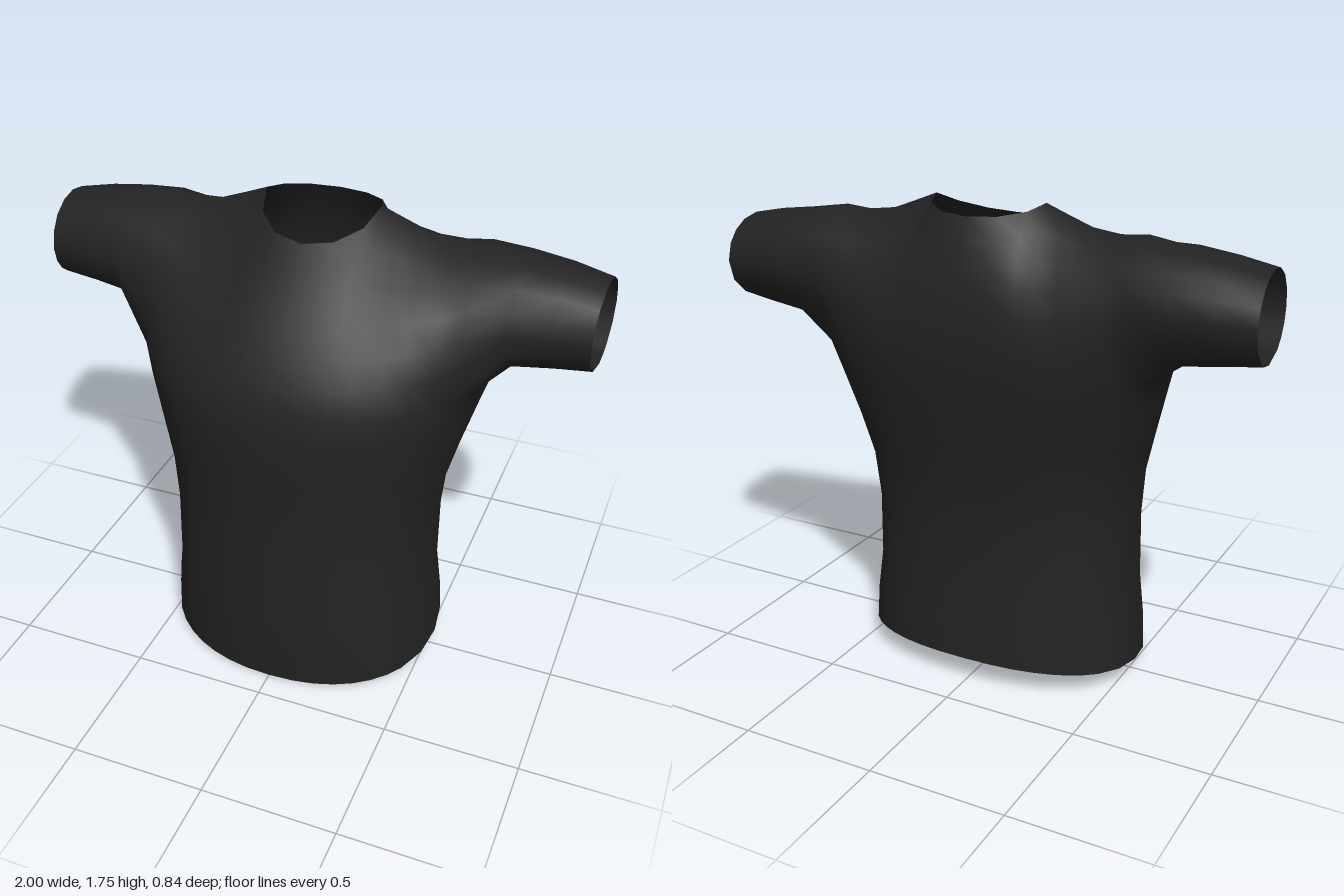
import * as THREE from 'three';
import { mergeVertices } from 'three/addons/utils/BufferGeometryUtils.js';

const rad = THREE.MathUtils.degToRad;
const lerp = THREE.MathUtils.lerp;
const V = (x, y, z) => new THREE.Vector3(x, y, z);

// Skin a grid of points (rows of equal length) into triangles
function skin(out, rows, flip = false) {
  for (let i = 0; i < rows.length - 1; i++) {
    for (let j = 0; j < rows[i].length - 1; j++) {
      const a = rows[i][j], b = rows[i + 1][j], c = rows[i + 1][j + 1], d = rows[i][j + 1];
      const tris = flip ? [a, c, b, a, d, c] : [a, b, c, a, c, d];
      tris.forEach((p) => out.push(p.x, p.y, p.z));
    }
  }
}

// Angles round the torso: front, one side, back, other side
const COLS = 14, SIDE = 4;
const angles = [30];
for (const [sweep, n] of [[120, COLS], [60, SIDE], [120, COLS], [60, SIDE]]) {
  const start = angles[angles.length - 1];
  for (let k = 1; k <= n; k++) angles.push(start + (sweep * k) / n);
}
const BACK = COLS + SIDE, RIGHT = BACK + COLS;

// Torso sections: height, half width, front z, back z, z of the widest point
const sections = [
  [0.00, 0.53, 0.40, -0.38, -0.02],
  [0.16, 0.522, 0.408, -0.37, -0.02],
  [0.33, 0.503, 0.41, -0.355, -0.02],
  [0.60, 0.503, 0.40, -0.34, -0.03],
  [0.77, 0.518, 0.403, -0.355, -0.04],
  [0.93, 0.56, 0.41, -0.38, -0.07],
  [1.10, 0.61, 0.42, -0.405, -0.12],
  [1.21, 0.645, 0.40, -0.42, -0.15],
];

function torsoRing([y, w, front, back, mid]) {
  return angles.map((deg) => {
    const c = Math.cos(rad(deg)), s = Math.sin(rad(deg));
    const e = 2 / (s > 0 ? 2.2 : 2.4);
    const x = w * Math.sign(c) * Math.abs(c) ** e;
    const z = mid + (s > 0 ? front - mid : mid - back) * Math.sign(s) * Math.abs(s) ** e;
    // the hem rises towards the back
    return V(x, y + (0.4 - z) * 0.128 * Math.max(0, 1 - y / 0.6), z);
  });
}

// Upper edge of a chest or back panel: shoulder, neckline, shoulder
const shoulder = [[0.58, 1.675], [0.48, 1.667], [0.38, 1.68], [0.3, 1.71]];
function topEdge(isFront) {
  const half = shoulder.map(([x, y]) => V(x, y, -0.15));
  const neck = [];
  for (let k = 0; k <= 6; k++) {
    const a = (Math.PI * k) / 6, s = Math.sin(a);
    neck.push(V(0.21 * Math.cos(a), 1.745 - (isFront ? 0.085 : 0.035) * s,
      -0.15 + (isFront ? 0.21 : -0.17) * s));
  }
  const mirrored = half.map((p) => V(-p.x, p.y, p.z)).reverse();
  const edge = [...half, ...neck, ...mirrored];
  return isFront ? edge : edge.reverse();
}

// Panel curving from the chest line up to the shoulder and neckline
function panel(bottom, isFront) {
  const top = topEdge(isFront), rows = [], N = 6;
  for (let i = 0; i <= N; i++) {
    const t = i / N;
    rows.push(bottom.map((b, j) => {
      const e = top[j];
      const k = Math.min(1, Math.abs(e.x) / 0.58) ** 1.5;
      const mid = isFront
        ? V((b.x + e.x) / 2, lerp(1.42, 1.6, k), lerp(0.33, 0.14, k))
        : V((b.x + e.x) / 2, lerp(1.5, 1.62, k), lerp(-0.44, -0.46, k));
      return new THREE.QuadraticBezierCurve3(b, mid, e).getPoint(t);
    }));
  }
  return rows;
}

// Sleeve sections: x, top, bottom, front z, back z
const sleeveSections = [
  [0.72, 1.655, 1.265, 0.065, -0.365],
  [0.86, 1.637, 1.283, 0.042, -0.345],
  [1.00, 1.61, 1.30, 0.03, -0.32],
];
function sleeve(root) {
  const rows = [root];
  for (const [x, top, bottom, front, back] of sleeveSections) {
    rows.push(root.map((p) => {
      const a = Math.atan2((p.y - 1.44) / 0.235, (p.z + 0.14) / 0.24);
      const z = (front + back) / 2 + ((front - back) / 2) * Math.cos(a);
      const y = (top + bottom) / 2 + ((top - bottom) / 2) * Math.sin(a);
      return V(x - 0.0075 * (1 + Math.cos(a)) * (x === 1 ? 1 : 0), y, z);
    }));
  }
  return rows;
}

export function createModel() {
  const group = new THREE.Group();
  group.name = 'shirt';
  const fabric = new THREE.MeshStandardMaterial({ color: 0x232323, side: THREE.DoubleSide });
  fabric.name = 'black fabric';

  const out = [];
  // Torso tube, open at the hem
  const rings = sections.map(torsoRing);
  skin(out, rings);

  // Chest and upper back
  const chestLine = rings[rings.length - 1];
  const front = panel(chestLine.slice(0, COLS + 1), true);
  const back = panel(chestLine.slice(BACK, RIGHT + 1), false);
  skin(out, front);
  skin(out, back);

  // Sleeves grow from the armhole: up the front, down the back, under the arm
  const armhole = [
    ...front.map((r) => r[0]),
    ...back.map((r) => r[COLS]).reverse().slice(1),
    ...chestLine.slice(RIGHT + 1),
  ];
  const left = sleeve(armhole);
  skin(out, left);
  skin(out, left.map((r) => r.map((p) => V(-p.x, p.y, p.z))), true);

  // Weld everything into one smooth cloth surface
  let geometry = new THREE.BufferGeometry();
  geometry.setAttribute('position', new THREE.Float32BufferAttribute(out, 3));
  geometry = mergeVertices(geometry, 1e-4);
  geometry.computeVertexNormals();
  const cloth = new THREE.Mesh(geometry, fabric);
  cloth.name = 'shirtCloth';
  group.add(cloth);
  return group;
}
